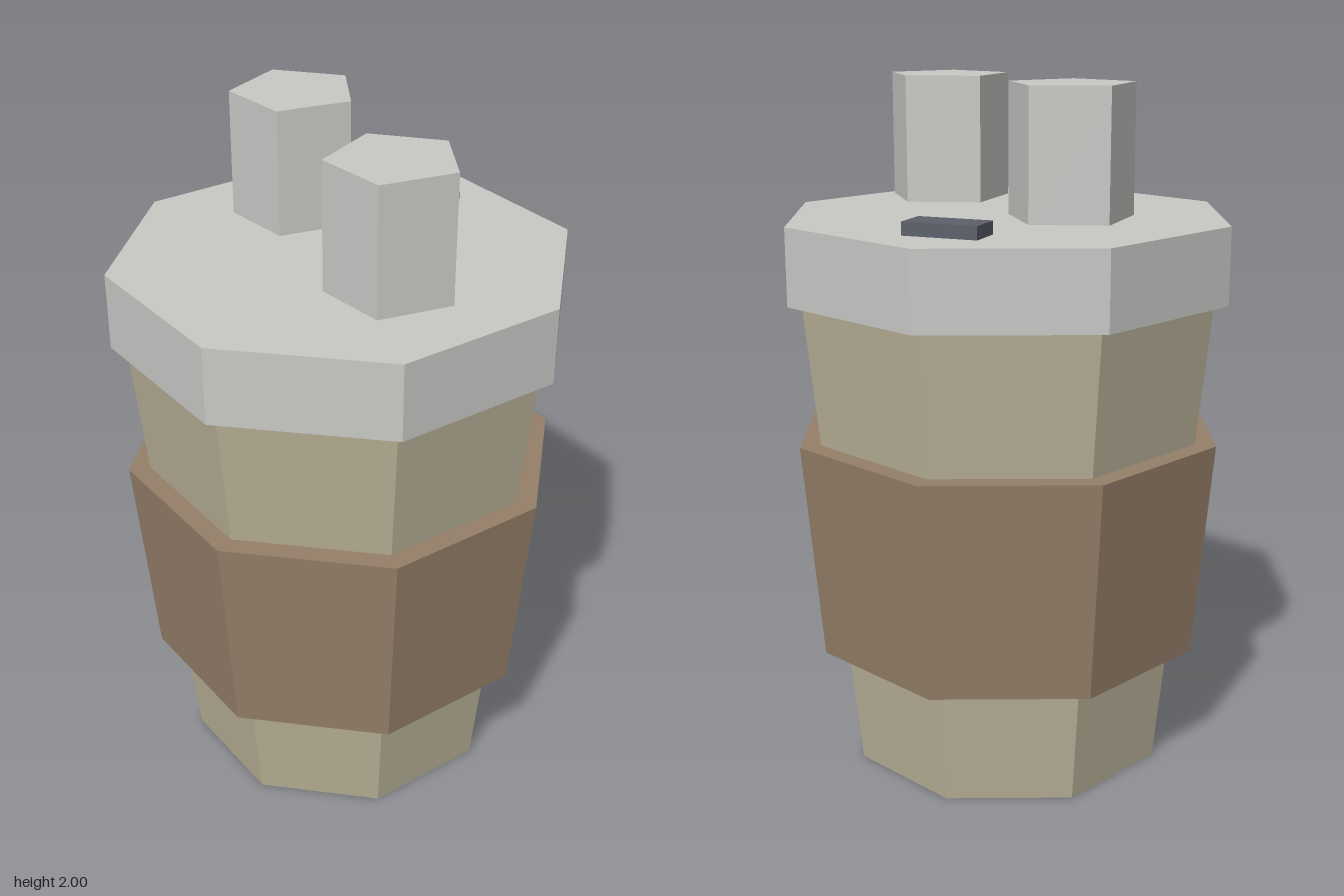
import * as THREE from 'three';

const material = (name, color) => {
  const m = new THREE.MeshStandardMaterial({ color, flatShading: true });
  m.name = name;
  return m;
};

export function createModel() {
  const group = new THREE.Group();
  const cream = material('cream cup', 0xb8b097);
  const brown = material('brown sleeve', 0x957f69);
  const grey = material('light grey', 0xc8c8c5);
  const slate = material('dark slate', 0x5c606a);

  const add = (name, geometry, mat, x, y, z) => {
    const mesh = new THREE.Mesh(geometry, mat);
    mesh.name = name;
    mesh.position.set(x, y, z);
    group.add(mesh);
    return mesh;
  };

  // Tapered octagonal section between two heights
  const section = (name, mat, rBottom, rTop, y0, y1) =>
    add(name, new THREE.CylinderGeometry(rTop, rBottom, y1 - y0, 8), mat, 0, (y0 + y1) / 2, 0);

  section('cup', cream, 0.473, 0.615, 0, 1.41);
  section('sleeve', brown, 0.58, 0.635, 0.36, 0.995);
  section('lid', grey, 0.655, 0.655, 1.4, 1.62);

  // Drinking hole at the back of the lid
  add('drinkingHole', new THREE.BoxGeometry(0.215, 0.04, 0.106), slate, 0, 1.637, -0.422);

  // Two five-sided pegs hovering just above the lid
  for (const [name, x, z] of [['rightPeg', -0.237, -0.13], ['leftPeg', 0.253, 0.162]]) {
    const peg = add(name, new THREE.CylinderGeometry(0.182, 0.182, 0.36, 5), grey, x, 1.82, z);
    peg.rotation.y = Math.PI / 2;
  }
  return group;
}
